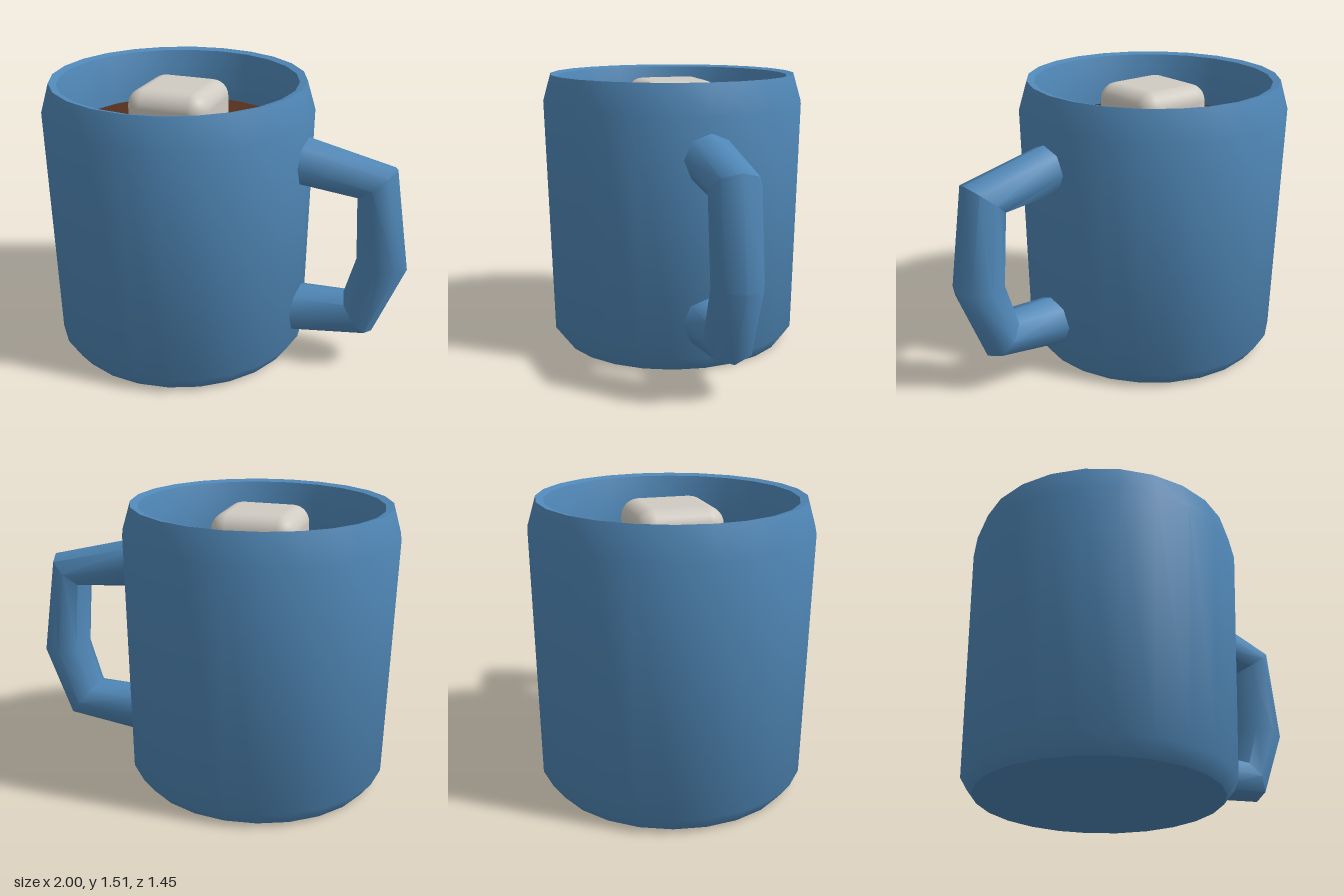
import * as THREE from 'three';
import { toCreasedNormals } from 'three/addons/utils/BufferGeometryUtils.js';
import { RoundedBoxGeometry } from 'three/addons/geometries/RoundedBoxGeometry.js';

const SIDES = 24;
const AXIS_X = -0.275;

function part(name, geometry, color) {
  const mesh = new THREE.Mesh(geometry, new THREE.MeshStandardMaterial({ color }));
  mesh.name = name;
  return mesh;
}

// Tube through mitred rings; each ring is given by its outer and inner point in the xy plane.
function ringTube(rings, halfDepth, sides) {
  const pos = [], index = [];
  for (const [ox, oy, ix, iy] of rings) {
    const cx = (ox + ix) / 2, cy = (oy + iy) / 2;
    for (let i = 0; i < sides; i++) {
      const a = (i / sides) * Math.PI * 2;
      pos.push(cx + (ox - cx) * Math.cos(a), cy + (oy - cy) * Math.cos(a), halfDepth * Math.sin(a));
    }
  }
  for (let r = 0; r < rings.length - 1; r++) {
    for (let i = 0; i < sides; i++) {
      const a = r * sides + i, b = r * sides + (i + 1) % sides;
      index.push(a, b, a + sides, b, b + sides, a + sides);
    }
  }
  const geometry = new THREE.BufferGeometry();
  geometry.setAttribute('position', new THREE.Float32BufferAttribute(pos, 3));
  geometry.setIndex(index);
  return toCreasedNormals(geometry, 0.9);
}

export function createModel() {
  const group = new THREE.Group();
  group.name = 'mug';
  const blue = 0x5088b8;

  // Body: outer wall, chamfered rim, inner wall and floor in one profile
  const profile = [
    [0, 0], [0.635, 0], [0.695, 0.08], [0.725, 1.36], [0.68, 1.515],
    [0.64, 1.505], [0.615, 1.4], [0.605, 1.27], [0.58, 0.14], [0, 0.12],
  ].map(([x, y]) => new THREE.Vector2(x, y));
  const body = part('body', toCreasedNormals(new THREE.LatheGeometry(profile, SIDES), 0.8), blue);
  body.position.x = AXIS_X;

  // Handle: octagonal tube whose ends sink into the wall
  const handle = part('handle', ringTube([
    [0.39, 1.282, 0.39, 1.004],
    [0.915, 1.15, 0.715, 0.98],
    [1.0, 0.6, 0.73, 0.62],
    [0.835, 0.2, 0.67, 0.41],
    [0.39, 0.134, 0.39, 0.41],
  ], 0.135, 8), blue);

  // Drink surface
  const drink = part('drink', new THREE.CircleGeometry(0.606, SIDES), 0x54301f);
  drink.rotation.x = -Math.PI / 2;
  drink.position.set(AXIS_X, 1.23, 0);

  // Floating marshmallow
  const marshmallow = part('marshmallow', new RoundedBoxGeometry(0.45, 0.45, 0.45, 4, 0.09), 0xd0cbc2);
  marshmallow.position.set(AXIS_X, 1.255, 0);

  group.add(body, handle, drink, marshmallow);
  return group;
}
